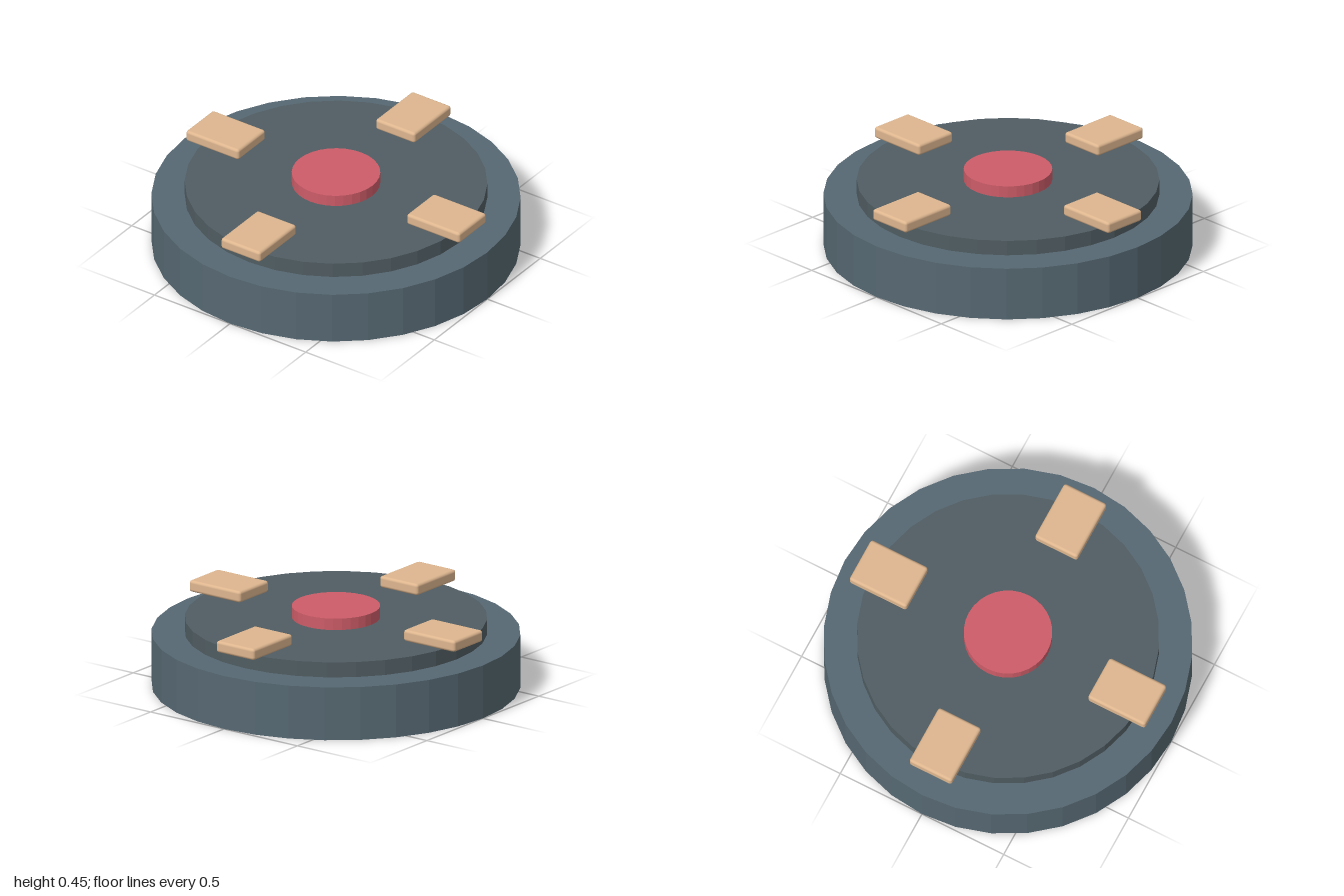
import * as THREE from 'three';
import { RoundedBoxGeometry } from 'three/addons/geometries/RoundedBoxGeometry.js';

// Faceted disc standing between two heights
function disc(name, radius, bottom, top, color) {
  const mesh = new THREE.Mesh(
    new THREE.CylinderGeometry(radius, radius, top - bottom, 32),
    new THREE.MeshStandardMaterial({ color, flatShading: true })
  );
  mesh.position.y = (bottom + top) / 2;
  mesh.name = name;
  return mesh;
}

export function createModel() {
  const model = new THREE.Group();
  model.name = 'turntable';

  // Stepped round body and centre button
  model.add(
    disc('base', 1, 0, 0.3, 0x566872),
    disc('topPlate', 0.82, 0.3, 0.385, 0x505d63),
    disc('centerButton', 0.24, 0.385, 0.45, 0xcd5c68)
  );

  // Four rounded pads, one per quarter turn, overhanging the plate
  const padGeometry = new RoundedBoxGeometry(0.35, 0.065, 0.26, 2, 0.016);
  const padMaterial = new THREE.MeshStandardMaterial({ color: 0xdeb68f });
  const pads = new THREE.Group();
  pads.name = 'pads';
  for (let i = 0; i < 4; i++) {
    const angle = (i * Math.PI) / 2;
    const pad = new THREE.Mesh(padGeometry, padMaterial);
    pad.name = `pad${i + 1}`;
    pad.position.set(0.73 * Math.cos(angle), 0.4185, -0.73 * Math.sin(angle));
    pad.rotation.y = angle;
    pads.add(pad);
  }
  model.add(pads);

  return model;
}
